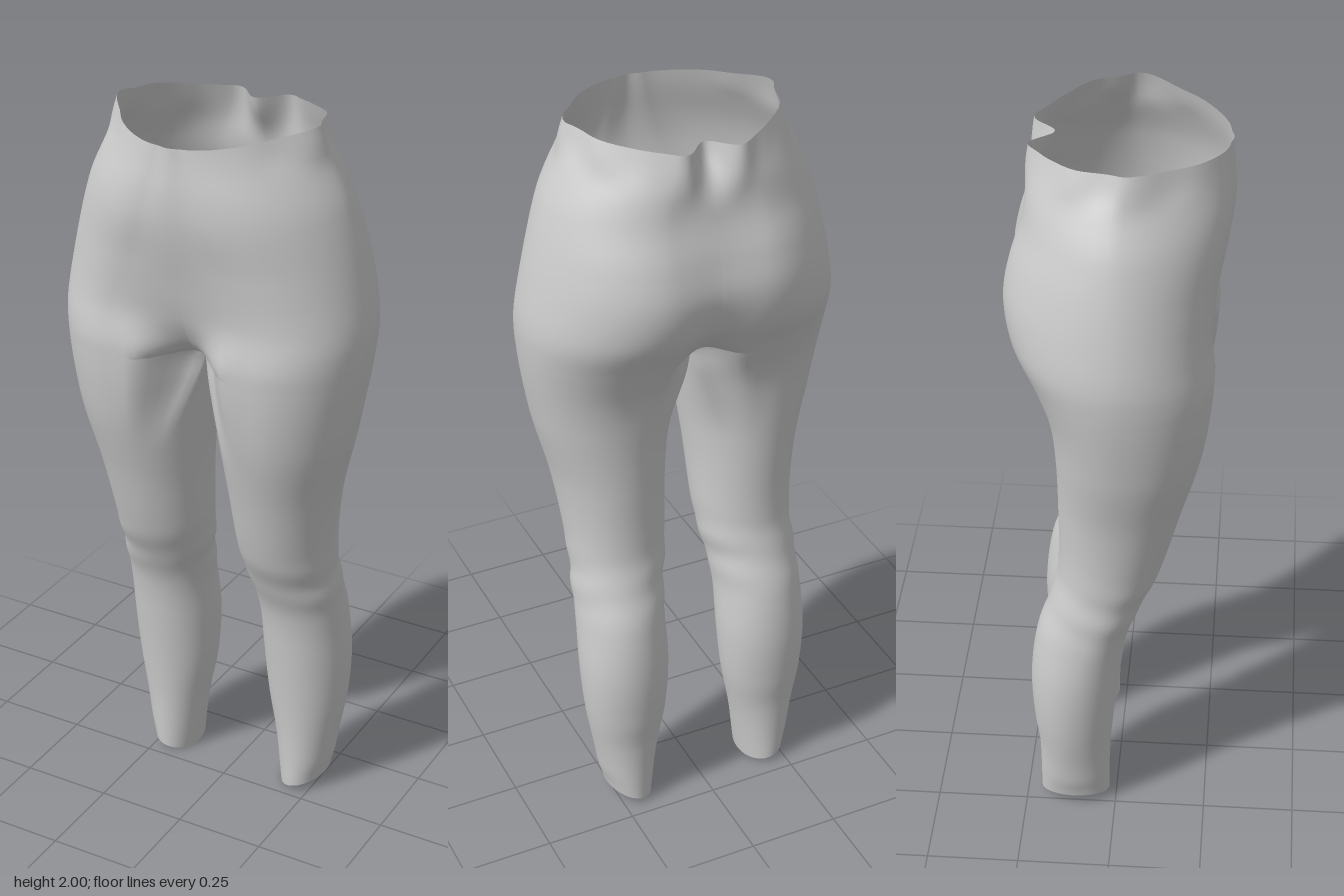
import * as THREE from 'three';

// Smooth curve through [y, value] pairs, sorted by rising y
function profile(...pts) {
  const slope = (i) => {
    const a = pts[Math.max(i - 1, 0)], b = pts[Math.min(i + 1, pts.length - 1)];
    return (b[1] - a[1]) / (b[0] - a[0]);
  };
  return (y) => {
    let i = 0;
    while (i < pts.length - 2 && y > pts[i + 1][0]) i++;
    const [y0, v0] = pts[i], [y1, v1] = pts[i + 1], h = y1 - y0;
    const t = THREE.MathUtils.clamp((y - y0) / h, 0, 1), t2 = t * t, t3 = t2 * t;
    return v0 * (2 * t3 - 3 * t2 + 1) + v1 * (3 * t2 - 2 * t3)
      + h * (slope(i) * (t3 - 2 * t2 + t) + slope(i + 1) * (t3 - t2));
  };
}

const { lerp, smoothstep, clamp } = THREE.MathUtils;
const gauss = (d, s) => Math.exp(-(d * d) / (s * s));
const CROTCH = 1.38;

// Silhouette of one side: outer and inner edge, front, back and widest depth
const outerX = profile([0, 0.27], [0.05, 0.28], [0.15, 0.295], [0.3, 0.32], [0.45, 0.33], [0.6, 0.325],
  [0.8, 0.32], [1, 0.342], [1.2, 0.388], [1.45, 0.42], [1.6, 0.402], [1.8, 0.352], [1.92, 0.3], [2, 0.275]);
const innerX = profile([0, 0.145], [0.15, 0.125], [0.3, 0.097], [0.45, 0.085], [0.6, 0.084], [0.7, 0.07],
  [0.8, 0.055], [1, 0.042], [1.2, 0.02], [1.36, 0.002], [CROTCH, 0], [2, 0]);
const frontZ = profile([0, -0.02], [0.2, -0.015], [0.45, 0.01], [0.6, 0.033], [0.7, 0.07], [0.8, 0.115],
  [1, 0.17], [1.2, 0.222], [1.4, 0.245], [1.52, 0.235], [1.65, 0.248], [1.8, 0.273], [2, 0.264]);
const backZ = profile([0, -0.21], [0.2, -0.212], [0.3, -0.224], [0.45, -0.23], [0.6, -0.212], [0.7, -0.18],
  [0.8, -0.155], [1, -0.15], [1.2, -0.155], [1.3, -0.17], [1.4, -0.212], [1.5, -0.265], [1.6, -0.282],
  [1.7, -0.265], [1.8, -0.233], [1.9, -0.22], [2, -0.2]);
const sideZ = profile([0, -0.115], [0.45, -0.11], [0.8, -0.02], [1.1, 0.02], [1.45, 0.01], [2, 0.01]);
// Centre seam at the front and back
const seamFront = profile([0, 0.1], [1.3, 0.1], [CROTCH, 0.1], [1.39, 0.13], [1.41, 0.157], [1.45, 0.186],
  [1.5, 0.21], [1.6, 0.238], [1.8, 0.28], [2, 0.272]);
const seamBack = profile([0, -0.1], [1.3, -0.1], [CROTCH, -0.1], [1.39, -0.13], [1.41, -0.165], [1.45, -0.208],
  [1.5, -0.245], [1.6, -0.272], [1.7, -0.258], [1.8, -0.232], [1.9, -0.22], [2, -0.205]);
// Where the section peaks in front and behind, and how round its outer corners are
const frontPeak = profile([0, 0.5], [1.45, 0.5], [1.6, 0.42], [1.8, 0.25], [2, 0.15]);
const backPeak = profile([0, 0.5], [1.25, 0.5], [1.4, 0.42], [1.55, 0.33], [1.8, 0.35], [2, 0.3]);
const corner = profile([0, 1], [1.2, 0.98], [1.45, 1], [1.6, 1.06], [1.85, 1.15], [2, 1.3]);

const COLS = 64, OUTER = 48, TOP_ROWS = 40, LEG_ROWS = 80;
const ALPHA = Math.PI / 4, A = Math.PI - ALPHA;

// One point of the cloth; phi 0 faces outwards, a quarter turn faces the front
function clothPoint(row, col) {
  let y = row <= TOP_ROWS
    ? CROTCH + (2 - CROTCH) * (1 - row / TOP_ROWS) ** 1.5
    : CROTCH * (1 - (row - TOP_ROWS) / LEG_ROWS);
  const phi = -A + (2 * Math.PI * col) / COLS, c = Math.cos(phi), s = Math.sin(phi);
  const front = s >= 0, xo = outerX(y), xi = innerX(y), zs = sideZ(y);
  const cx = lerp(xi, xo, front ? frontPeak(y) : backPeak(y));
  const zPeak = front ? frontZ(y) : backZ(y);
  let x, z;
  if (c >= 0) {
    const e = corner(y);
    x = cx + (xo - cx) * c ** e;
    z = zs + (zPeak - zs) * Math.abs(s) ** e;
  } else {
    // Inner side: blend the pelvis, open at the seam, into the closed leg
    const w = smoothstep(y, 1.08, CROTCH);
    const u = clamp(-c / Math.cos(ALPHA), 0, 1);
    const groove = 0.35 * (1 - smoothstep(y, 1.4, 1.55));
    let zp = lerp(zPeak, front ? seamFront(y) : seamBack(y), smoothstep(u, groove, 1));
    if (col > OUTER) zp = lerp(seamFront(y), seamBack(y), (col - OUTER) / (COLS - OUTER));
    x = lerp(cx + (cx - xi) * c, lerp(cx, xi, u), w);
    z = lerp(zs + (zPeak - zs) * Math.abs(s), zp, w);
  }

  // Sagging crotch seam
  if (col > OUTER) y -= 0.02 * Math.sin((Math.PI * (col - OUTER)) / (COLS - OUTER)) * smoothstep(y, 1, CROTCH);

  // Knee wrinkles
  const fold = Math.sin(55 * y + 2.5 * Math.sin(phi + 0.6)) * (0.6 + 0.4 * Math.sin(2 * phi + 1));
  const knee = 1 + 0.028 * gauss(y - 0.71, 0.08) * fold;
  x = cx + (x - cx) * knee;
  z = zs + (z - zs) * knee;

  // Gathered tuck at the back of the waistband and pleats at its sides
  const band = smoothstep(y, 1.82, 2);
  if (!front) z += band * (0.045 * gauss(x, 0.04) - 0.02 * gauss(x - 0.07, 0.035));
  x += 0.008 * smoothstep(y, 1.9, 1.97) * Math.sin(7 * phi) * smoothstep(x, 0.15, 0.25);

  // Waist dips at front and back, ankle hem rises outwards
  y -= 0.028 * band * (1 - Math.min(1, (x / xo) ** 2));
  y += 0.035 * clamp((x - 0.145) / 0.13, 0, 1) * (1 - smoothstep(y, 0, 0.12));
  return [x, y, z];
}

function sideGeometry(sign) {
  const pos = [], index = [], rows = TOP_ROWS + LEG_ROWS;
  for (let r = 0; r <= rows; r++) {
    for (let c = 0; c < COLS; c++) {
      const [x, y, z] = clothPoint(r, c);
      pos.push(sign * x, y, z);
      // Above the crotch only the outer columns are cloth
      if (r === rows || (r < TOP_ROWS && c >= OUTER)) continue;
      const a = r * COLS + c, b = r * COLS + ((c + 1) % COLS), d = a + COLS, e = b + COLS;
      if (sign > 0) index.push(a, b, d, b, e, d);
      else index.push(a, d, b, b, d, e);
    }
  }
  const geo = new THREE.BufferGeometry();
  geo.setAttribute('position', new THREE.Float32BufferAttribute(pos, 3));
  geo.setIndex(index);
  geo.computeVertexNormals();
  // Both halves share their normals along the centre seam
  const p = geo.attributes.position, n = geo.attributes.normal, v = new THREE.Vector3();
  for (let i = 0; i < p.count; i++) {
    if (Math.abs(p.getX(i)) > 1e-4) continue;
    v.fromBufferAttribute(n, i).setX(0).normalize();
    n.setXYZ(i, v.x, v.y, v.z);
  }
  return geo;
}

export function createModel() {
  const group = new THREE.Group();
  group.name = 'leggings';
  const cloth = new THREE.MeshStandardMaterial({ color: 0xcccccc, side: THREE.DoubleSide });
  for (const [name, sign] of [['leftHalf', 1], ['rightHalf', -1]]) {
    const mesh = new THREE.Mesh(sideGeometry(sign), cloth);
    mesh.name = name;
    group.add(mesh);
  }
  return group;
}
